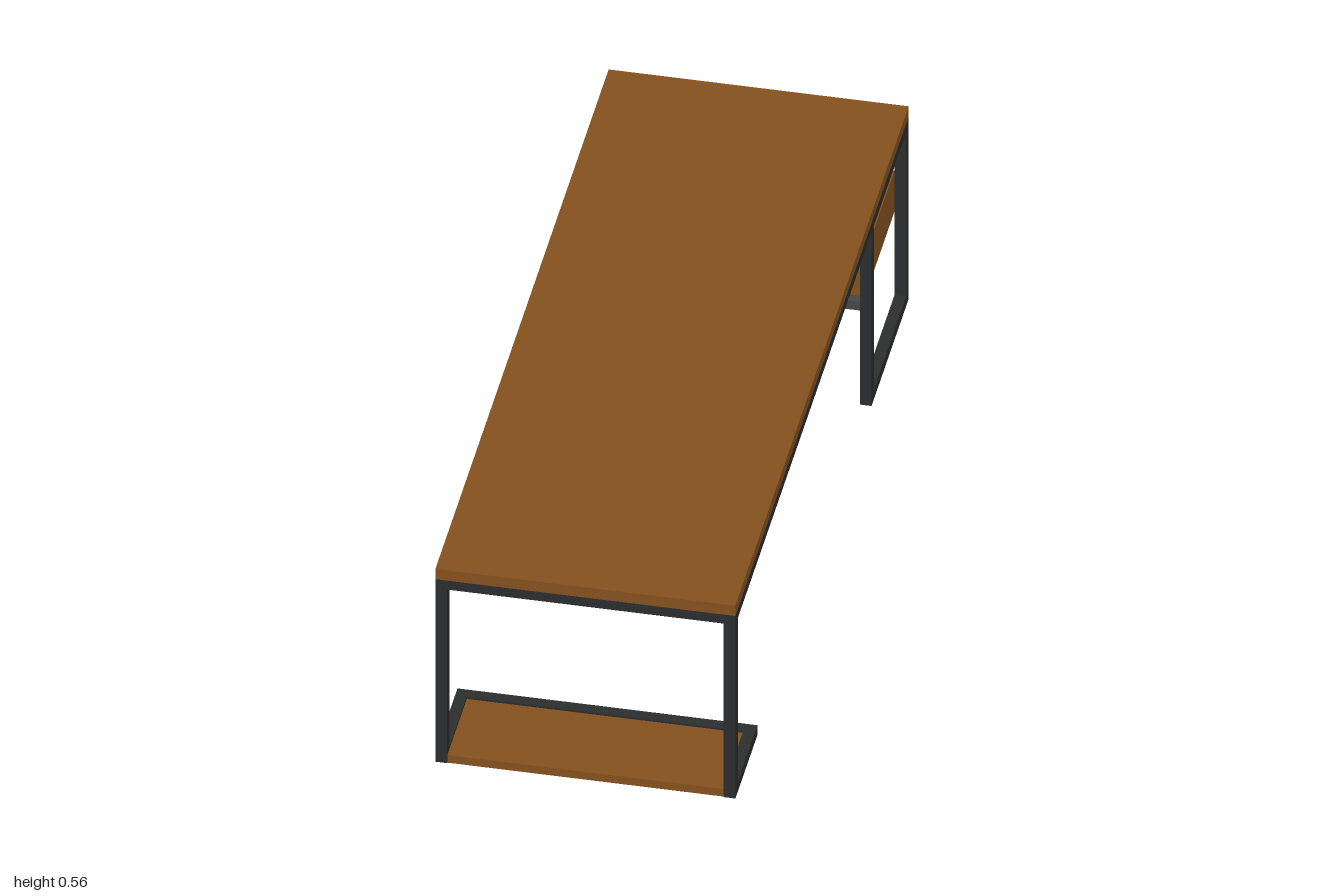
import * as THREE from 'three';

export function createModel() {
  const desk = new THREE.Group();
  desk.name = 'desk';
  const wood = new THREE.MeshStandardMaterial({ color: 0x85511f });
  const steel = new THREE.MeshStandardMaterial({ color: 0x2c2d2e });
  const slideGrey = new THREE.MeshStandardMaterial({ color: 0x464646 });

  // Box given by its limits along each axis
  const box = (name, mat, [x0, x1], [y0, y1], [z0, z1], parent = desk) => {
    const mesh = new THREE.Mesh(new THREE.BoxGeometry(x1 - x0, y1 - y0, z1 - z0), mat);
    mesh.position.set((x0 + x1) / 2, (y0 + y1) / 2, (z0 + z1) / 2);
    mesh.name = name;
    parent.add(mesh);
    return mesh;
  };

  const T = 0.028; // square tube width
  const X0 = -0.353, X1 = 0.362, TOP = 0.53;
  const inner = [X0 + T, X1 - T];
  const sides = [[X0, X0 + T], [X1 - T, X1]];
  const railY = [TOP - 0.026, TOP];

  // Table top
  box('tableTop', wood, [X0, X1], [TOP, 0.56], [-1, 1]);

  // Steel frame: legs and floor runners on both sides
  const frame = new THREE.Group();
  frame.name = 'frame';
  desk.add(frame);
  const legZ = [[1 - T, 1], [-0.6, -0.6 + T], [-1, -1 + T]];
  for (const sx of sides) {
    for (const z of legZ) box('leg', steel, sx, [0, TOP], z, frame);
    box('footRunner', steel, sx, [0, T], [0.745, 1 - T], frame);
    box('pedestalRunner', steel, sx, [0, T], [-1 + T, -0.6], frame);
  }
  // Cross rails under the top, and the long rail on the closed side
  for (const z of legZ) box('crossRail', steel, inner, railY, z, frame);
  box('longRail', steel, sides[1], railY, [-0.6 + T, 1 - T], frame);
  box('longRailEnd', steel, sides[1], railY, [-1 + T, -0.6], frame);
  box('footCrossRail', steel, inner, [0, T], [0.745, 0.745 + T], frame);

  // Foot shelf
  box('footShelf', wood, inner, [0, 0.022], [0.745 + T, 0.998]);

  // Drawers, each with its front, support slides and handle
  const drawers = [
    { y: [0.27, 0.389], front: [0.271, 0.394], handle: 0.333 },
    { y: [0.4, 0.506], front: [0.396, 0.528], handle: 0.467 },
  ];
  for (const d of drawers) {
    const drawer = new THREE.Group();
    drawer.name = 'drawer';
    desk.add(drawer);
    box('drawerBody', wood, [X0 + T, X1 - T], d.y, [-0.972, -0.6], drawer);
    box('drawerFront', wood, [-0.348, X0 + T], d.front, [-0.972, -0.6], drawer);
    for (const z of [[-0.6, -0.576], [-0.996, -0.972]])
      box('drawerSlide', slideGrey, inner, [d.y[0], d.y[0] + 0.025], z, drawer);
    const hy = [d.handle - 0.004, d.handle + 0.004];
    box('handleBar', steel, [-0.363, -0.357], hy, [-0.85, -0.74], drawer);
    for (const z of [[-0.85, -0.843], [-0.747, -0.74]])
      box('handlePost', steel, [-0.357, -0.348], hy, z, drawer);
  }
  return desk;
}
